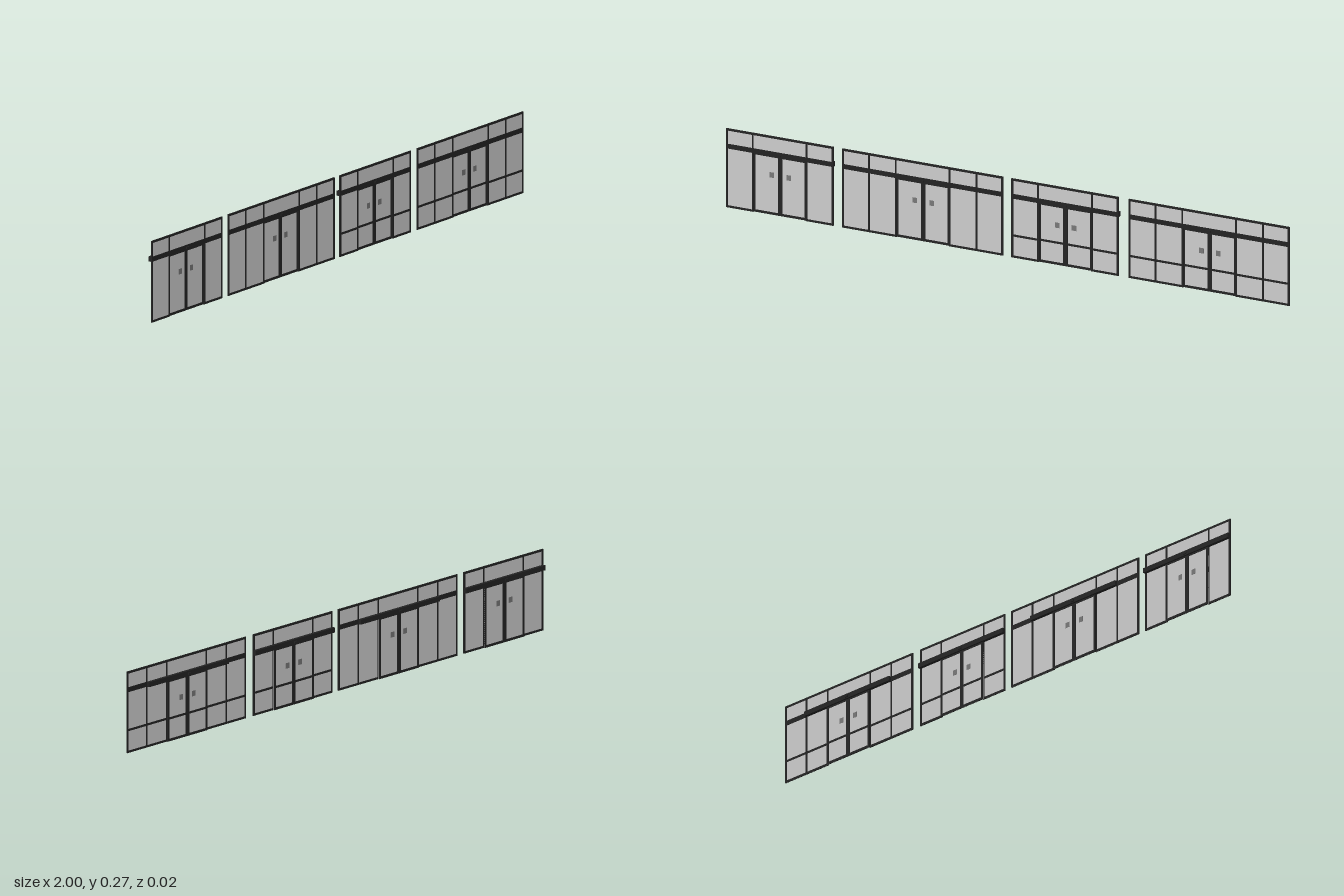
import * as THREE from 'three';

const frameMat = new THREE.MeshStandardMaterial({ color: 0x222222 });
const glassMat = new THREE.MeshStandardMaterial({ color: 0xcccccc });
const handleMat = new THREE.MeshStandardMaterial({ color: 0x777777 });

const H = 0.268, BAY = 0.0953, BAR = 0.007;
const RAIL_LOW = 0.2, RAIL_TOP = 0.216, MID = 0.075;
const FIXED = [0.003, 0.007], DOOR = [-0.001, 0.003];

// Box given by its extents on each axis
function box(parent, name, mat, [x0, x1], [y0, y1], [z0, z1]) {
  const mesh = new THREE.Mesh(new THREE.BoxGeometry(x1 - x0, y1 - y0, z1 - z0), mat);
  mesh.position.set((x0 + x1) / 2, (y0 + y1) / 2, (z0 + z1) / 2);
  mesh.name = name;
  parent.add(mesh);
}

const around = (c, size) => [c - size / 2, c + size / 2];
// Thin pane in the middle of a frame's depth
const pane = ([z0, z1]) => around((z0 + z1) / 2, 0.001);

function slidingDoor(side, midBar) {
  const door = new THREE.Group();
  door.name = side < 0 ? 'rightDoor' : 'leftDoor';
  const x0 = side < 0 ? -BAY : 0, x1 = x0 + BAY;
  box(door, 'doorGlass', glassMat, [x0, x1], [0, RAIL_LOW], pane(DOOR));
  box(door, 'doorStile', frameMat, [x0, x0 + 0.008], [0, RAIL_LOW], DOOR);
  box(door, 'doorStile', frameMat, [x1 - 0.008, x1], [0, RAIL_LOW], DOOR);
  box(door, 'doorBottomRail', frameMat, [x0 + 0.008, x1 - 0.008], [0, 0.008], DOOR);
  box(door, 'doorTopRail', frameMat, [x0 + 0.008, x1 - 0.008], [RAIL_LOW - 0.005, RAIL_LOW], DOOR);
  if (midBar) box(door, 'doorMiddleBar', frameMat, [x0 + 0.008, x1 - 0.008], around(MID, BAR), DOOR);
  // Square push plate, seen from both faces of the glass
  box(door, 'pushPlate', handleMat, around(side * 0.03, 0.017), around(0.134, 0.018), [0, 0.002]);
  return door;
}

function entrance(bays, midBar) {
  const g = new THREE.Group();
  const half = bays * BAY / 2;

  // Outer frame and transom beam
  for (const s of [-1, 1]) {
    box(g, 'sidePost', frameMat, around(s * (half - BAR / 2), BAR), [0, H], FIXED);
  }
  box(g, 'headBar', frameMat, [-half + BAR, half - BAR], [H - BAR, H], FIXED);
  box(g, 'transomBeam', frameMat, [-half + BAR, half - BAR], [RAIL_LOW, RAIL_TOP], FIXED);
  box(g, 'transomGlass', glassMat, [-half + BAR, half - BAR], [RAIL_TOP, H - BAR], pane(FIXED));

  // Fixed side lights with their mullions
  for (const s of [-1, 1]) {
    const span = s < 0 ? [-half + BAR, -BAY] : [BAY, half - BAR];
    box(g, 'sideGlass', glassMat, span, [0, RAIL_LOW], pane(FIXED));
    box(g, 'sillBar', frameMat, span, [0, BAR], FIXED);
    if (midBar) box(g, 'sideMiddleBar', frameMat, span, around(MID, BAR), FIXED);
    for (let i = 1; i < bays / 2; i++) {
      box(g, 'mullion', frameMat, around(s * i * BAY, 0.006), [0, H], FIXED);
    }
    g.add(slidingDoor(s, midBar));
  }

  // Door track behind the beam, as long as the doors' travel, with sensors on both faces
  box(g, 'doorTrack', frameMat, [-2 * BAY, 2 * BAY], [RAIL_LOW, RAIL_TOP], [-0.007, 0.003]);
  box(g, 'frontSensor', frameMat, around(0, 0.012), [0.203, 0.21], [0.007, 0.011]);
  box(g, 'backSensor', frameMat, around(0, 0.012), [0.203, 0.21], [-0.011, -0.007]);
  return g;
}

export function createModel() {
  const model = new THREE.Group();
  model.name = 'slidingEntrances';
  const layout = [
    ['narrowEntrance', -0.809, 4, false],
    ['wideEntrance', -0.302, 6, false],
    ['narrowBarredEntrance', 0.203, 4, true],
    ['wideBarredEntrance', 0.714, 6, true],
  ];
  for (const [name, x, bays, midBar] of layout) {
    const g = entrance(bays, midBar);
    g.name = name;
    g.position.x = x;
    model.add(g);
  }
  return model;
}
